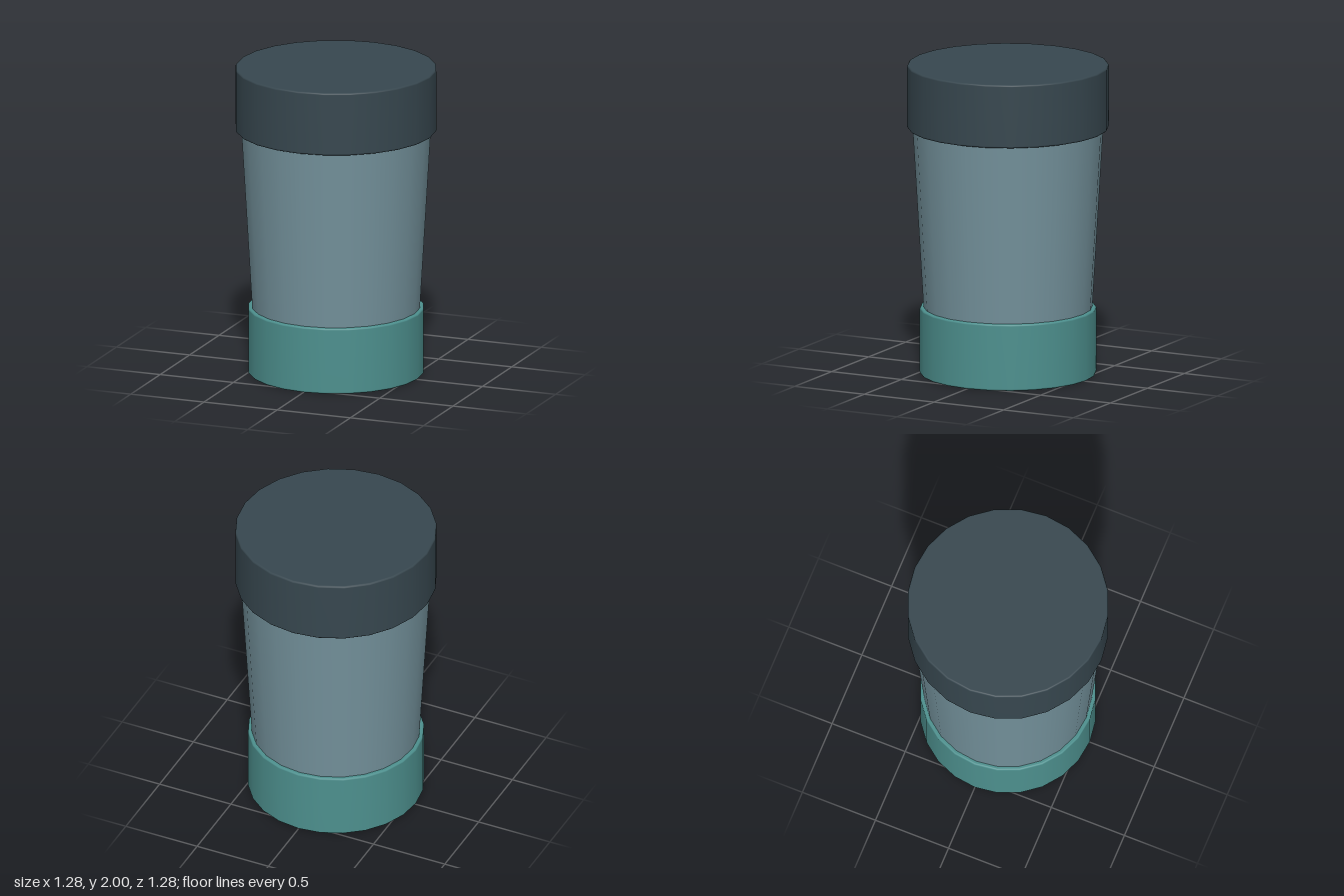
import * as THREE from 'three';

const SIDES = 24;

function material(name, color) {
  const m = new THREE.MeshStandardMaterial({ color });
  m.name = name;
  return m;
}

// Solid of revolution with a small rounded bevel at both rims
function turnedPart(name, mat, y0, y1, r0, r1, bevel) {
  const points = [new THREE.Vector2(0, y0)];
  const steps = 3;
  for (let i = 0; i <= steps; i++) {
    const a = (i / steps) * Math.PI / 2;
    points.push(new THREE.Vector2(r0 - bevel * (1 - Math.sin(a)), y0 + bevel * (1 - Math.cos(a))));
  }
  for (let i = 0; i <= steps; i++) {
    const a = (i / steps) * Math.PI / 2;
    points.push(new THREE.Vector2(r1 - bevel * (1 - Math.cos(a)), y1 - bevel * (1 - Math.sin(a))));
  }
  points.push(new THREE.Vector2(0, y1));
  const mesh = new THREE.Mesh(new THREE.LatheGeometry(points, SIDES), mat);
  mesh.name = name;
  return mesh;
}

export function createModel() {
  const group = new THREE.Group();
  group.name = 'tumbler';
  const teal = material('teal', 0x4d908e);
  const blueGrey = material('blue grey', 0x74929c);
  const charcoal = material('charcoal', 0x37474f);

  // Grip sleeve around the foot
  group.add(turnedPart('baseSleeve', teal, 0, 0.43, 0.56, 0.56, 0.012));

  // Tapered cup wall, tucked into sleeve and lid
  const body = new THREE.Mesh(
    new THREE.CylinderGeometry(0.612, 0.52, 1.55, SIDES), blueGrey);
  body.position.y = 0.945;
  body.name = 'cupBody';
  group.add(body);

  // Wide flat lid
  group.add(turnedPart('lid', charcoal, 1.59, 2, 0.64, 0.64, 0.012));

  return group;
}
